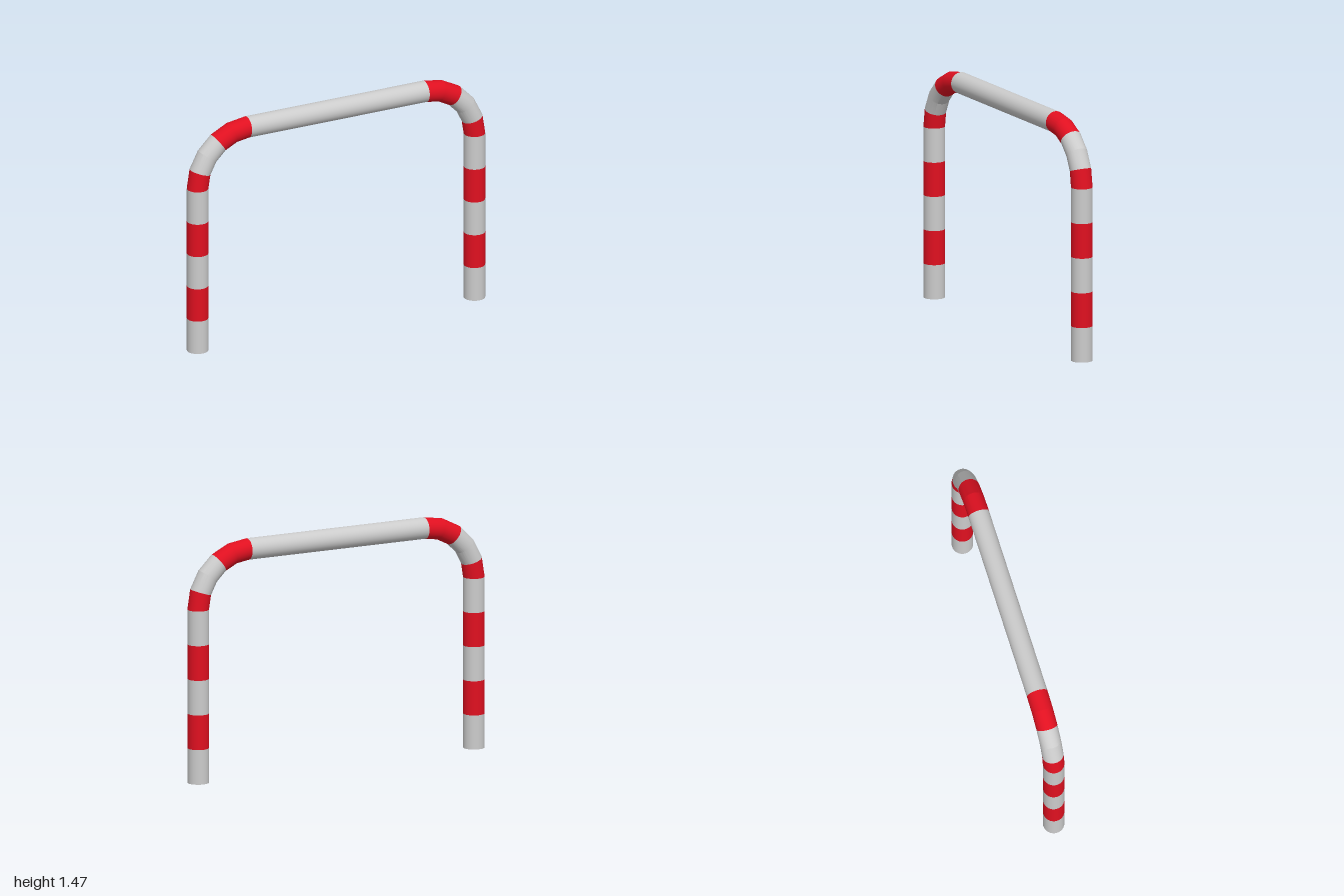
import * as THREE from 'three';
import { toCreasedNormals } from 'three/addons/utils/BufferGeometryUtils.js';

const TUBE = 0.065;          // pipe radius
const SIDES = 32;
const BEND = 0.335;          // bend radius on the centreline
const BEND_X = 0.6, BEND_Y = 1.065;
const STEP = Math.PI / 10;   // five straight facets per bend

const grey = new THREE.MeshStandardMaterial({ color: 0xcccccc, side: THREE.DoubleSide });
const red = new THREE.MeshStandardMaterial({ color: 0xe01020, side: THREE.DoubleSide });

// Open straight pipe along y
function pipe(length, material, name) {
  const mesh = new THREE.Mesh(new THREE.CylinderGeometry(TUBE, TUBE, length, SIDES, 1, true), material);
  mesh.name = name;
  return mesh;
}

// Faceted piece of the bend, from facet number `first`, `count` facets long
function bendPiece(first, count, material, name) {
  const torus = new THREE.TorusGeometry(BEND, TUBE, SIDES, count, count * STEP);
  const mesh = new THREE.Mesh(toCreasedNormals(torus, 0.25), material);
  mesh.rotation.z = first * STEP;
  mesh.position.set(BEND_X, BEND_Y, 0);
  mesh.name = name;
  return mesh;
}

// One striped leg with its bend, on the +x side
function createSide(name, bottom) {
  const side = new THREE.Group();
  side.name = name;

  const stripe = (BEND_Y - bottom) / 5;
  for (let i = 0; i < 5; i++) {
    const isRed = i % 2 === 1;
    const mesh = pipe(stripe, isRed ? red : grey, isRed ? 'legRedStripe' : 'legGreyStripe');
    mesh.position.set(BEND_X + BEND, bottom + (i + 0.5) * stripe, 0);
    side.add(mesh);
  }

  side.add(
    bendPiece(0, 1, red, 'lowerBendStripe'),
    bendPiece(1, 2, grey, 'middleBend'),
    bendPiece(3, 2, red, 'upperBendStripe'),
  );
  return side;
}

export function createModel() {
  const model = new THREE.Group();
  model.name = 'barrier';

  // Legs; the right one ends slightly above the ground
  const left = createSide('leftLeg', 0);
  const right = createSide('rightLeg', 0.015);
  right.rotation.y = Math.PI;
  model.add(left, right);

  // Crossbar
  const bar = pipe(2 * BEND_X, grey, 'crossbar');
  bar.rotation.z = Math.PI / 2;
  bar.position.y = BEND_Y + BEND;
  model.add(bar);

  return model;
}
